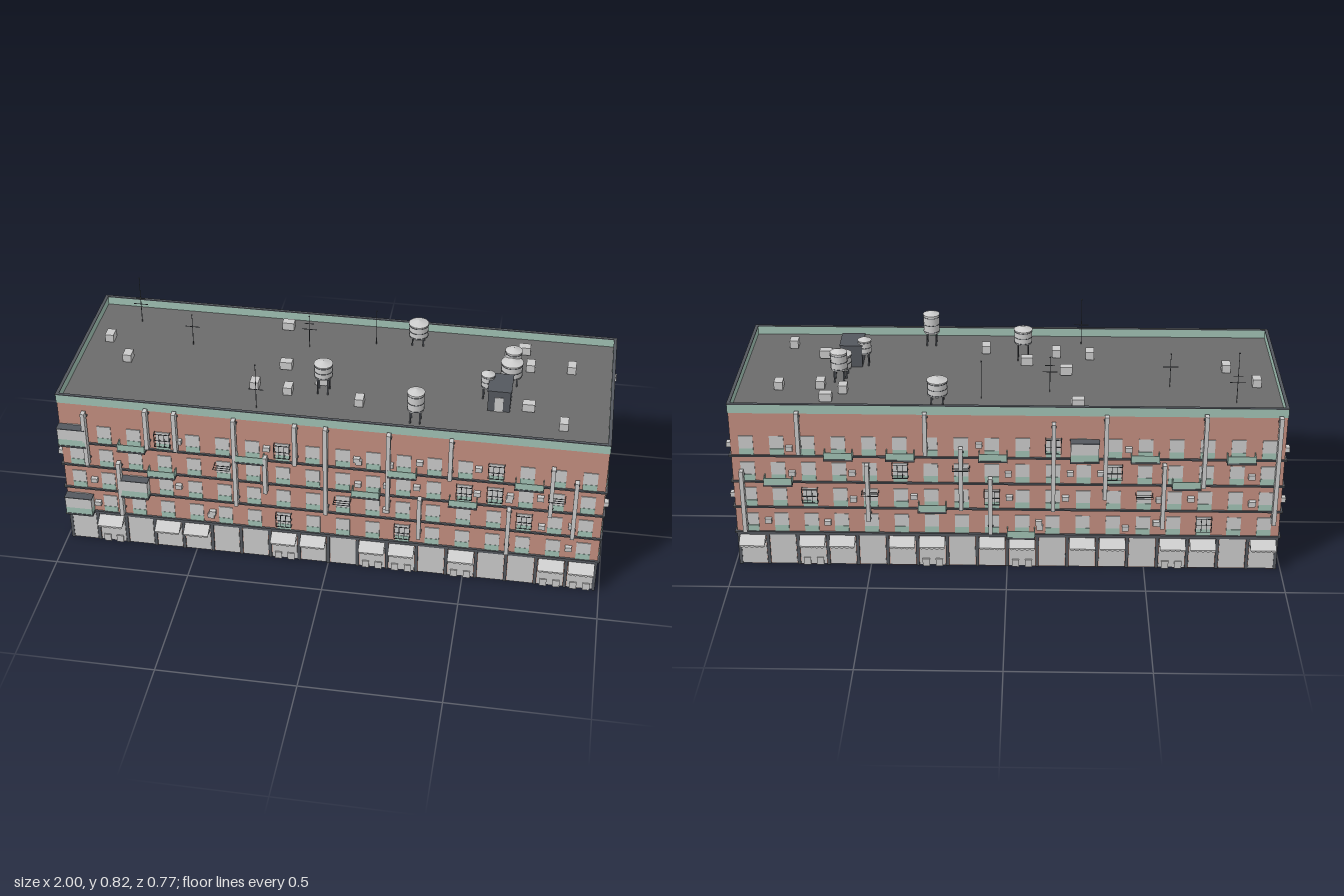
import * as THREE from 'three';

const mat = (color, side = THREE.FrontSide) => new THREE.MeshStandardMaterial({ color, side });
const GREY = mat(0xcccccc), MINT = mat(0xa1c2b5), DARK = mat(0x54585e), ROOF = mat(0x6b6b6b);
const BRICK = mat(0xc48f80, THREE.DoubleSide), SHEET = mat(0xcccccc, THREE.DoubleSide);
const UNIT = new THREE.BoxGeometry(1, 1, 1);

const FLOORS = [0.14, 0.245, 0.35, 0.455]; // window band bases
const STEP = 0.1093;
const HX = 0.985, HZ = 0.34, CZ = 0.003, TOP = 0.655, DECK = 0.622;

function add(parent, name, geo, m, x = 0, y = 0, z = 0) {
  const o = new THREE.Mesh(geo, m);
  o.name = name;
  o.position.set(x, y, z);
  parent.add(o);
  return o;
}

// Box given by centre x, bottom y, centre z
function box(parent, name, m, x, y, z, w, h, d) {
  const o = add(parent, name, UNIT, m, x, y + h / 2, z);
  o.scale.set(w, h, d);
  return o;
}

function seeded(seed) {
  return () => (seed = (seed * 16807) % 2147483647) / 2147483647;
}

function group(parent, name) {
  const g = new THREE.Group();
  g.name = name;
  parent.add(g);
  return g;
}

// One wall: local x along the wall, local z outwards
function wall(parent, name, length, count, pitch) {
  const g = group(parent, name);
  add(g, 'brickWall', new THREE.PlaneGeometry(length, TOP), BRICK, 0, TOP / 2, 0);
  box(g, 'parapetBand', MINT, 0, 0.62, -0.003, length + 0.002, 0.035, 0.01);
  box(g, 'parapetCap', DARK, 0, TOP - 0.002, -0.003, length + 0.004, 0.003, 0.012);
  for (const f of FLOORS) {
    box(g, 'floorLedge', DARK, 0, f - 0.007, 0.002, length + 0.012, 0.006, 0.012);
    for (let i = 0; i < count; i++) {
      const x = (i - (count - 1) / 2) * pitch;
      box(g, 'windowPane', GREY, x, f + 0.025, 0, 0.051, 0.05, 0.006);
      box(g, 'windowPanel', MINT, x, f, 0, 0.051, 0.025, 0.008);
    }
  }
  return g;
}

function airConditioner(g, x, y) {
  box(g, 'airConditioner', GREY, x, y, 0.008, 0.024, 0.018, 0.016);
}

// Balcony with slab and solid rail; closed ones are glazed to the ceiling
function balcony(parent, x, floor, closed) {
  const g = group(parent, closed ? 'closedBalcony' : 'balcony');
  const y = FLOORS[floor], w = 0.1, d = 0.034;
  box(g, 'balconySlab', DARK, x, y - 0.007, d / 2, w + 0.004, 0.007, d + 0.004);
  if (closed) {
    box(g, 'balconyBase', MINT, x, y, d / 2, w, 0.026, d);
    box(g, 'balconyGlazing', GREY, x, y + 0.026, d / 2, w, 0.044, d);
    box(g, 'balconyRoof', DARK, x, y + 0.07, d / 2, w + 0.004, 0.003, d + 0.004);
  } else {
    box(g, 'balconyRail', MINT, x, y, d - 0.001, w, 0.026, 0.003);
    for (const s of [-1, 1]) box(g, 'balconySideRail', MINT, x + s * (w / 2 - 0.001), y, d / 2, 0.003, 0.026, d);
  }
}

// Barred cage in front of a window
function windowCage(parent, x, floor) {
  const g = group(parent, 'windowCage');
  const y = FLOORS[floor] + 0.022, w = 0.056, h = 0.054, d = 0.02, t = 0.002;
  for (let i = 0; i < 4; i++) {
    box(g, 'cageUpright', DARK, x + (i / 3 - 0.5) * w, y, d, t, h, t);
    if (i === 3) continue;
    box(g, 'cageBar', DARK, x, y + (i / 2) * h, d, w, t, t);
    for (const s of [-1, 1]) box(g, 'cageSideBar', DARK, x + (s * w) / 2, y + (i / 2) * h, d / 2, t, t, d);
  }
}

function dryingRack(parent, x, floor) {
  const g = group(parent, 'dryingRack');
  const y = FLOORS[floor] + 0.066;
  for (const s of [-1, 1]) box(g, 'rackArm', DARK, x + s * 0.03, y, 0.022, 0.002, 0.002, 0.044);
  for (let i = 0; i < 3; i++) box(g, 'rackRail', DARK, x, y, 0.02 + i * 0.012, 0.062, 0.002, 0.002);
}

function duct(g, x, y0, y1) {
  box(g, 'wallDuct', GREY, x, y0, 0.022, 0.015, y1 - y0, 0.024);
  for (const y of [y0 + 0.02, y1 - 0.025]) box(g, 'ductBracket', DARK, x, y, 0.006, 0.019, 0.004, 0.012);
}

// Sloping sheet awning with a scalloped valance, struts and lamp
function awning(parent, x) {
  const g = group(parent, 'awning');
  const w = 0.094, drop = 0.026, out = 0.045;
  const sheet = add(g, 'awningSheet', new THREE.PlaneGeometry(w, Math.hypot(drop, out)), SHEET, x, 0.114, out / 2);
  sheet.rotation.x = -Math.atan2(out, drop);
  const s = new THREE.Shape();
  s.moveTo(-w / 2, 0);
  for (let i = 0; i < 5; i++) s.quadraticCurveTo(-w / 2 + (i + 0.5) * w / 5, -0.014, -w / 2 + ((i + 1) * w) / 5, -0.003);
  s.lineTo(w / 2, 0);
  add(g, 'awningValance', new THREE.ShapeGeometry(s, 4), SHEET, x, 0.101, out);
  for (const k of [-1, 1]) box(g, 'awningStrut', DARK, x + k * 0.045, 0.099, out / 2, 0.002, 0.002, out);
  box(g, 'hangingLamp', GREY, x, 0.082, 0.016, 0.016, 0.01, 0.008);
}

function shopFronts(parent, awnings, stalls) {
  const g = group(parent, 'shopFronts');
  box(g, 'shopLintel', DARK, 0, 0.126, 0, 2 * HX, 0.007, 0.012);
  for (let i = 0; i <= 18; i++) box(g, 'shopPillar', DARK, Math.max(-0.979, Math.min(0.979, (i - 9) * STEP)), 0, 0, 0.012, 0.128, 0.01);
  for (let i = 0; i < 18; i++) {
    const x = (i - 8.5) * STEP;
    box(g, 'shopShutter', GREY, x, 0.003, 0, 0.094, 0.123, 0.006);
    if (awnings.includes(i)) awning(g, x);
    if (stalls.includes(i)) for (const s of [-1, 1]) box(g, 'shopStall', GREY, x + s * 0.024, 0, 0.004, 0.026, 0.03, 0.008);
  }
}

// Everything hung on a long wall; column numbers run along local x
function clutter(g, seed, balconies, cages, racks, ducts) {
  const rnd = seeded(seed);
  balconies.forEach(([x, f, closed]) => balcony(g, x, f, closed));
  cages.forEach(([c, f]) => windowCage(g, (c - 8.5) * STEP, f));
  racks.forEach(([c, f]) => dryingRack(g, (c - 8.5) * STEP, f));
  ducts.forEach(([x, a, b]) => duct(g, x, a, b));
  for (let i = 0; i < 24; i++) {
    const c = Math.floor(rnd() * 17), f = FLOORS[Math.floor(rnd() * 4)];
    airConditioner(g, (c - 8) * STEP + (rnd() - 0.5) * 0.02, f + 0.02 + rnd() * 0.025);
  }
}

function waterTank(parent, x, z, r, y0, y1, apex) {
  const g = group(parent, 'waterTank');
  g.position.set(x, 0, z);
  const cyl = (name, m, a, b, y, h, n = 20) => add(g, name, new THREE.CylinderGeometry(a, b, h, n), m, 0, y + h / 2, 0);
  cyl('tankBody', GREY, r * 0.96, r * 0.96, y0, y1 - y0);
  cyl('tankLid', GREY, 0.001, r * 1.03, y1, apex - y1);
  for (const k of [0.08, 0.45, 0.85]) cyl('tankHoop', DARK, r, r, y0 + k * (y1 - y0), 0.002);
  for (const sx of [-1, 1]) for (const sz of [-1, 1])
    box(g, 'tankLeg', DARK, sx * r * 0.55, DECK, sz * r * 0.55, 0.005, y0 - DECK, 0.005);
}

function antenna(parent, x, z, top, bars) {
  const g = group(parent, 'antenna');
  add(g, 'mast', new THREE.CylinderGeometry(0.001, 0.0015, top - DECK, 6), DARK, x, (top + DECK) / 2, z);
  add(g, 'mastTip', new THREE.SphereGeometry(0.003, 8, 6), DARK, x, top, z);
  for (let i = 0; i < bars; i++) box(g, 'crossBar', DARK, x, 0.7 + i * 0.025, z, 0.055 - i * 0.02, 0.002, 0.002);
}

export function createModel() {
  const model = new THREE.Group();
  model.name = 'apartmentBlock';

  // Long walls
  const front = wall(model, 'frontWall', 2 * HX, 18, STEP);
  front.position.z = CZ + HZ;
  shopFronts(front, [1, 3, 4, 7, 8, 10, 11, 13, 16, 17], [1, 7, 10, 11, 13, 16, 17]);
  clutter(front, 71,
    [[-0.935, 3, true], [-0.935, 0, true], [-0.715, 1, true], [-0.715, 3], [-0.61, 2], [-0.28, 3], [0.14, 2], [0.27, 3], [0.49, 2], [0.72, 3]],
    [[3, 3], [7, 3], [7, 0], [11, 0], [13, 2], [14, 3], [14, 2], [15, 1]],
    [[5, 2], [9, 1], [16, 2]],
    [[-0.885, 0.37, 0.6], [-0.77, 0.15, 0.39], [-0.655, 0.47, 0.635], [-0.55, 0.47, 0.635], [-0.335, 0.25, 0.63], [-0.225, 0.32, 0.48],
      [-0.115, 0.46, 0.63], [-0.005, 0.25, 0.63], [0.22, 0.3, 0.63], [0.335, 0.18, 0.36], [0.44, 0.46, 0.63], [0.655, 0.15, 0.35], [0.8, 0.34, 0.55], [0.885, 0.25, 0.5]]);

  const back = wall(model, 'backWall', 2 * HX, 18, STEP);
  back.position.z = CZ - HZ;
  back.rotation.y = Math.PI;
  shopFronts(back, [0, 2, 3, 5, 6, 8, 9, 11, 12, 14, 15, 17], [2, 6, 9, 14]);
  clutter(back, 913,
    [[-0.82, 2], [-0.6, 3], [-0.38, 3], [-0.05, 3], [0.275, 3, true], [0.49, 3], [0.64, 2], [0.83, 3], [-0.27, 1], [0.05, 0]],
    [[2, 1], [5, 2], [8, 1], [10, 3], [12, 2], [15, 0]],
    [[4, 1], [7, 2], [13, 1]],
    [[-0.95, 0.15, 0.4], [-0.74, 0.47, 0.635], [-0.5, 0.2, 0.43], [-0.29, 0.47, 0.635], [-0.165, 0.25, 0.5], [-0.06, 0.15, 0.38], [0.165, 0.25, 0.6],
      [0.35, 0.3, 0.63], [0.56, 0.18, 0.44], [0.7, 0.35, 0.635], [0.96, 0.2, 0.63]]);

  // End walls with doors
  for (const s of [1, -1]) {
    const end = wall(model, s > 0 ? 'leftEndWall' : 'rightEndWall', 2 * HZ, 6, 0.1135);
    end.position.set(s * HX, 0, CZ);
    end.rotation.y = (s * Math.PI) / 2;
    for (const z of [0.057, -0.057, -0.284]) {
      box(end, 'door', GREY, -s * z, 0, 0, 0.035, 0.073, 0.006);
      box(end, 'doorLamp', GREY, -s * z, 0.077, 0.004, 0.014, 0.005, 0.008);
    }
    for (const [z, y] of [[0.327, 0.387], [-0.324, 0.481], [-0.324, 0.276], [-0.015, 0.172], [-0.24, 0.178]]) airConditioner(end, -s * z, y);
  }

  // Roof deck and rooftop equipment
  const roof = group(model, 'roof');
  box(roof, 'roofDeck', ROOF, 0, DECK - 0.006, CZ, 2 * HX - 0.004, 0.006, 2 * HZ - 0.004);
  box(roof, 'stairHead', DARK, 0.585, DECK, 0.1, 0.08, 0.085, 0.11);
  box(roof, 'stairHeadCap', DARK, 0.585, 0.705, 0.1, 0.086, 0.004, 0.116);
  box(roof, 'stairHeadDoor', GREY, 0.585, DECK, 0.156, 0.03, 0.06, 0.003);
  [[0.25, -0.243, 0.037, 0.655, 0.711, 0.723], [-0.05, 0.128, 0.034, 0.69, 0.744, 0.756], [0.3, 0.257, 0.031, 0.672, 0.747, 0.759],
    [0.615, -0.033, 0.04, 0.655, 0.713, 0.725], [0.617, -0.072, 0.031, 0.67, 0.738, 0.75], [0.537, 0.07, 0.025, 0.67, 0.722, 0.735],
  ].forEach((t) => waterTank(roof, ...t));
  [[-0.815, -0.225, 0.815, 2], [-0.585, -0.1, 0.752, 1], [-0.27, 0.267, 0.805, 1], [-0.15, -0.15, 0.758, 2], [0.095, -0.21, 0.768, 0],
  ].forEach((a) => antenna(roof, ...a));
  [[-0.25, -0.265], [-0.9, -0.085], [-0.8, 0.037], [-0.21, 0], [-0.3, 0.14], [-0.175, 0.155], [-0.065, 0.08], [0.09, 0.187],
    [0.595, -0.165], [0.65, -0.235], [0.68, -0.128], [0.83, -0.138], [0.69, 0.128], [0.82, 0.22],
  ].forEach(([x, z], i) => {
    const [w, d] = i % 3 === 0 ? [0.045, 0.032] : [0.032, 0.044];
    box(roof, 'roofVentUnit', GREY, x, DECK + 0.003, z, w, 0.03, d);
    box(roof, 'roofVentFoot', DARK, x, DECK, z, w * 0.8, 0.003, d * 0.8);
  });
  return model;
}
